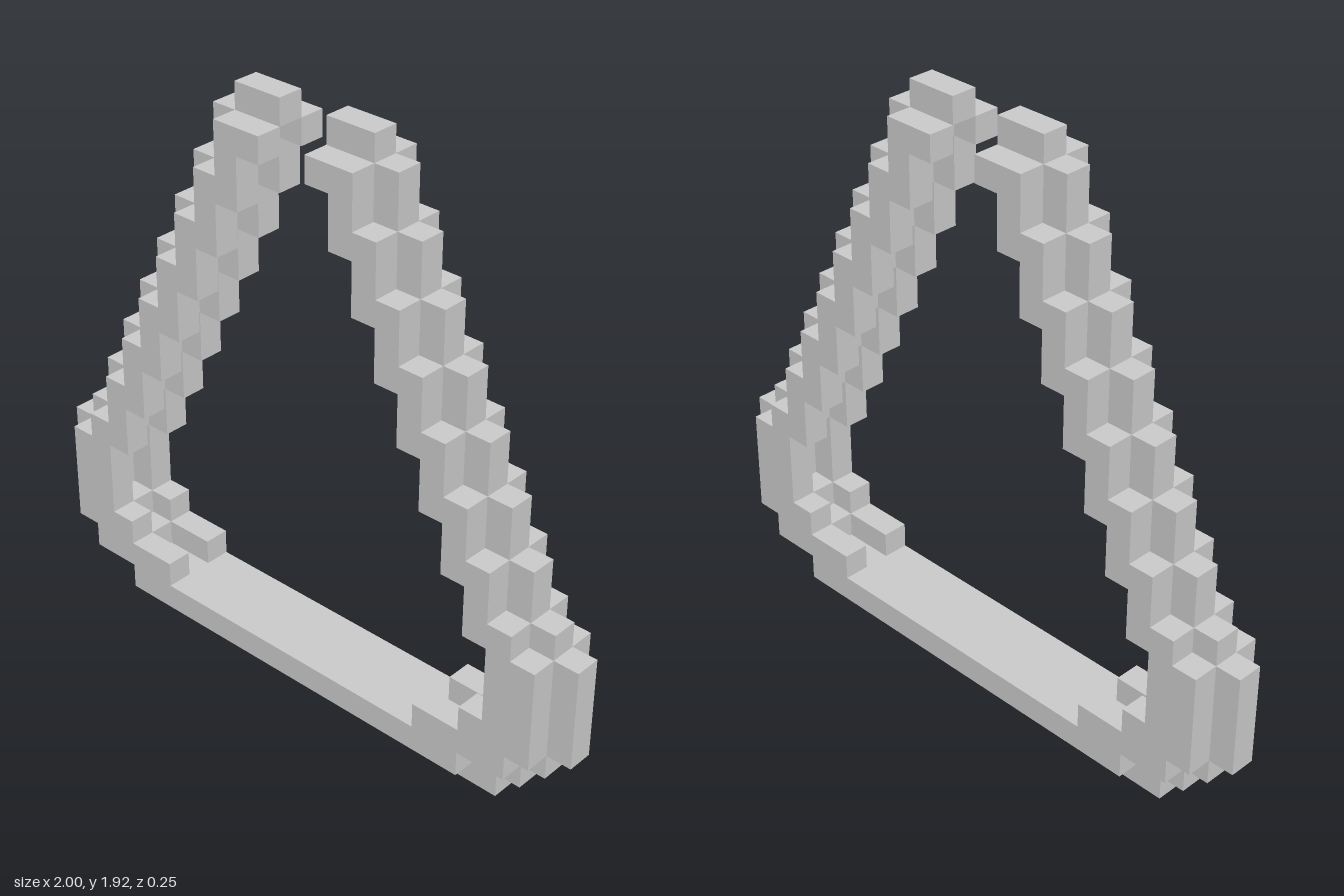
import * as THREE from 'three';

const U = 1 / 12; // size of one block

// Runs of block rows on the +x half: [first row, end row, inner x, outer x]
const coreRuns = [
  [0, 1, 0, 9], [1, 2, 0, 10], [2, 3, 8, 11], [3, 4, 9, 12], [4, 7, 10, 12],
  [7, 8, 9, 11],
];
const sideRuns = [
  [1, 2, 0, 8], [2, 3, 6, 10], [3, 4, 8, 11], [4, 7, 9, 11], [7, 8, 8, 10],
];
// The sloping arms climb two rows per block inwards
for (let i = 0; i < 7; i++) {
  const y = 8 + 2 * i;
  coreRuns.push([y, y + 1, 9 - i, 10 - i], [y + 1, y + 2, 8 - i, 10 - i]);
  sideRuns.push([y, y + 1, 8 - i, 9 - i], [y + 1, y + 2, 7 - i, 9 - i]);
}
coreRuns.push([22, 23, 1, 3]);

// One stepped outline, open at the top, mirrored across x = 0
function steppedOutline(runs) {
  const half = [];
  const add = (x, y) => {
    const last = half[half.length - 1];
    if (!last || last[0] !== x || last[1] !== y) half.push([x, y]);
  };
  for (const [y0, y1, , outer] of runs) { add(outer, y0); add(outer, y1); }
  const base = runs.filter((r) => r[2] === 0).pop();
  for (const [y0, y1, inner] of [...runs].reverse()) {
    if (inner > 0) { add(inner, y1); add(inner, y0); }
  }
  // the inner walls land on the top of the base bar
  add(half[half.length - 1][0], base[1]);
  const mirrored = [...half].reverse().map(([x, y]) => [-x, y]);
  return new THREE.Shape([...half, ...mirrored].map(([x, y]) => new THREE.Vector2(x * U, y * U)));
}

export function createModel() {
  const group = new THREE.Group();
  group.name = 'steppedRing';
  const material = new THREE.MeshStandardMaterial({ color: 0xcccccc, flatShading: true });

  const addLayer = (name, runs, z) => {
    const geometry = new THREE.ExtrudeGeometry(steppedOutline(runs), { depth: U, bevelEnabled: false });
    const mesh = new THREE.Mesh(geometry, material);
    mesh.name = name;
    mesh.position.z = (z - 0.5) * U;
    group.add(mesh);
  };

  // Middle layer stands one block further out than the two side layers
  addLayer('middleLayer', coreRuns, 0);
  addLayer('frontLayer', sideRuns, 1);
  addLayer('backLayer', sideRuns, -1);
  return group;
}
